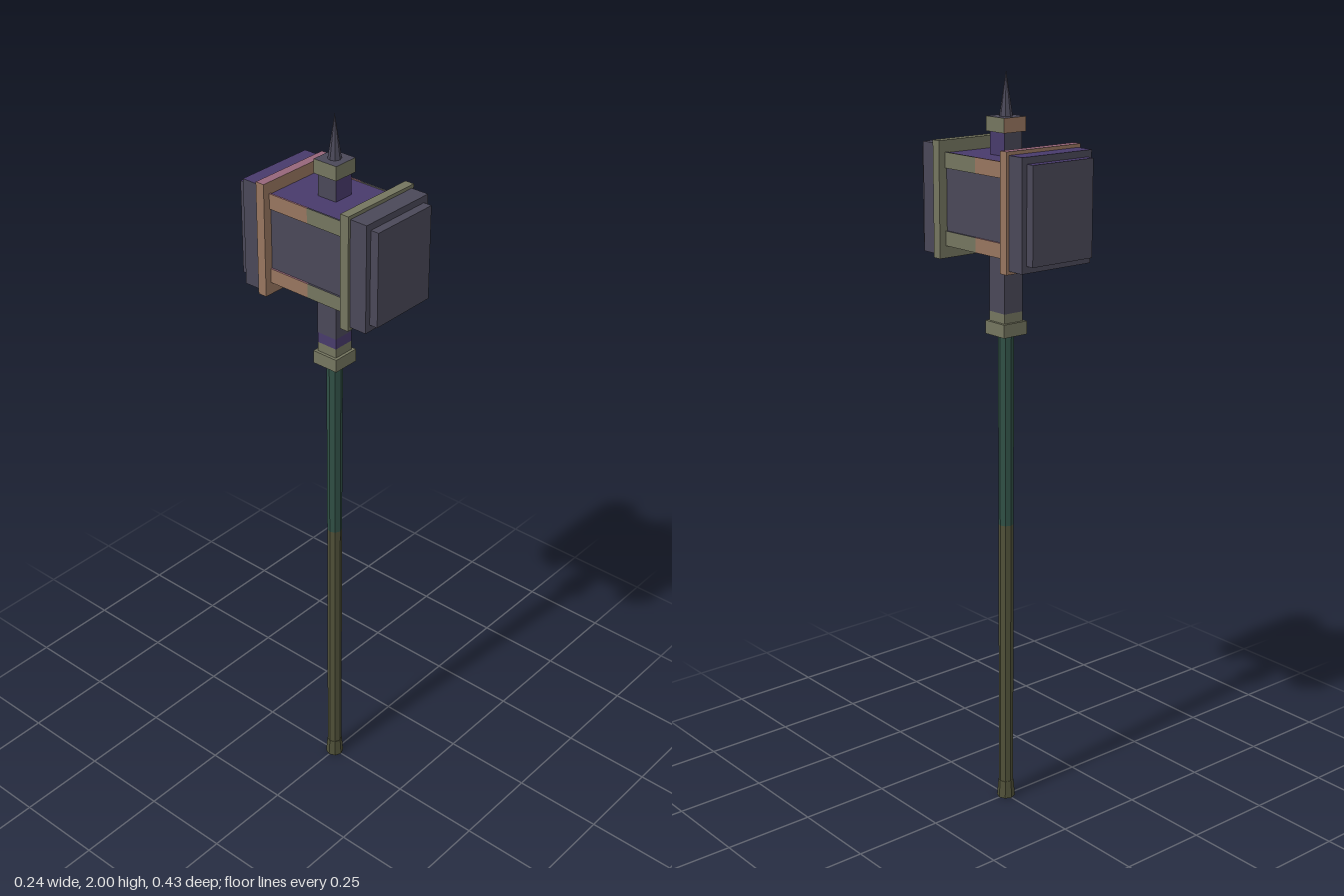
import * as THREE from 'three';

function mat(name, color) {
  const m = new THREE.MeshStandardMaterial({ color });
  m.name = name;
  return m;
}

export function createModel() {
  const steel = mat('dark steel', 0x4a4858);
  const purple = mat('purple steel', 0x483a6b);
  const brass = mat('pale olive trim', 0x74755f);
  const copper = mat('tan trim', 0x97755f);
  const rose = mat('rose trim', 0x96667a);
  const teal = mat('teal grip', 0x305045);
  const moss = mat('moss grip', 0x4f5038);

  const model = new THREE.Group();
  model.name = 'warHammer';

  // box from its limits; faces may override the base material
  function box(parent, name, [x0, x1], [y0, y1], [z0, z1], base, faces = {}) {
    const order = ['right', 'left', 'top', 'bottom', 'front', 'back'];
    const mats = order.map((side) => faces[side] || base);
    const mesh = new THREE.Mesh(new THREE.BoxGeometry(x1 - x0, y1 - y0, z1 - z0), mats);
    mesh.position.set((x0 + x1) / 2, (y0 + y1) / 2, (z0 + z1) / 2);
    mesh.name = name;
    parent.add(mesh);
  }
  const sym = (r) => [-r, r];

  // round faceted part between two heights
  function rod(name, y0, y1, r0, r1, material) {
    const geo = new THREE.CylinderGeometry(r1, r0, y1 - y0, 8).toNonIndexed();
    geo.computeVertexNormals();
    const mesh = new THREE.Mesh(geo, material);
    mesh.position.y = (y0 + y1) / 2;
    mesh.name = name;
    model.add(mesh);
  }

  // handle
  rod('pommel', 0, 0.05, 0.025, 0.021, moss);
  rod('lowerShaft', 0.05, 0.81, 0.02, 0.02, moss);
  rod('upperShaft', 0.81, 1.335, 0.02, 0.021, teal);

  // square neck running through the head
  const neck = new THREE.Group();
  neck.name = 'neck';
  model.add(neck);
  box(neck, 'lowerCollar', sym(0.038), [1.332, 1.367], sym(0.038), brass);
  box(neck, 'neckFoot', sym(0.03), [1.367, 1.392], sym(0.03), brass);
  box(neck, 'neckBand', sym(0.03), [1.392, 1.42], sym(0.03), steel, { front: purple, left: purple });
  box(neck, 'neckShaft', sym(0.03), [1.42, 1.56], sym(0.03), steel);
  box(neck, 'neckTop', sym(0.028), [1.79, 1.85], sym(0.028), steel, { front: purple, right: purple });
  box(neck, 'topCollar', sym(0.035), [1.85, 1.887], sym(0.035), brass, { top: steel, back: copper });
  rod('spike', 1.887, 2.0, 0.017, 0, steel);

  // hammer head
  const head = new THREE.Group();
  head.name = 'head';
  model.add(head);
  box(head, 'core', sym(0.095), [1.558, 1.792], sym(0.122), steel, { top: purple });

  // rails along the core sides, each in a front and a back half
  for (const s of [-1, 1]) {
    const x = s > 0 ? [0.095, 0.1] : [-0.1, -0.095];
    for (const [name, y] of [['lowerRail', [1.556, 1.594]], ['upperRail', [1.754, 1.794]]]) {
      box(head, name + 'Front', x, y, [0, 0.122], brass, { top: steel });
      box(head, name + 'Back', x, y, [-0.122, 0], copper, { top: rose });
    }
  }

  // striking ends: band, block and face plate
  for (const s of [1, -1]) {
    const end = s > 0 ? 'front' : 'back';
    const z = (a, b) => (s > 0 ? [a, b] : [-b, -a]);
    const top = s > 0 ? {} : { top: purple };
    box(head, end + 'Band', sym(0.119), [1.524, 1.824], z(0.12, 0.145),
      s > 0 ? brass : copper, s > 0 ? {} : { top: rose });
    box(head, end + 'Block', sym(0.112), [1.533, 1.815], z(0.145, 0.194), steel, top);
    box(head, end + 'Plate', sym(0.097), [1.551, 1.798], z(0.194, 0.217), steel, top);
  }

  return model;
}
